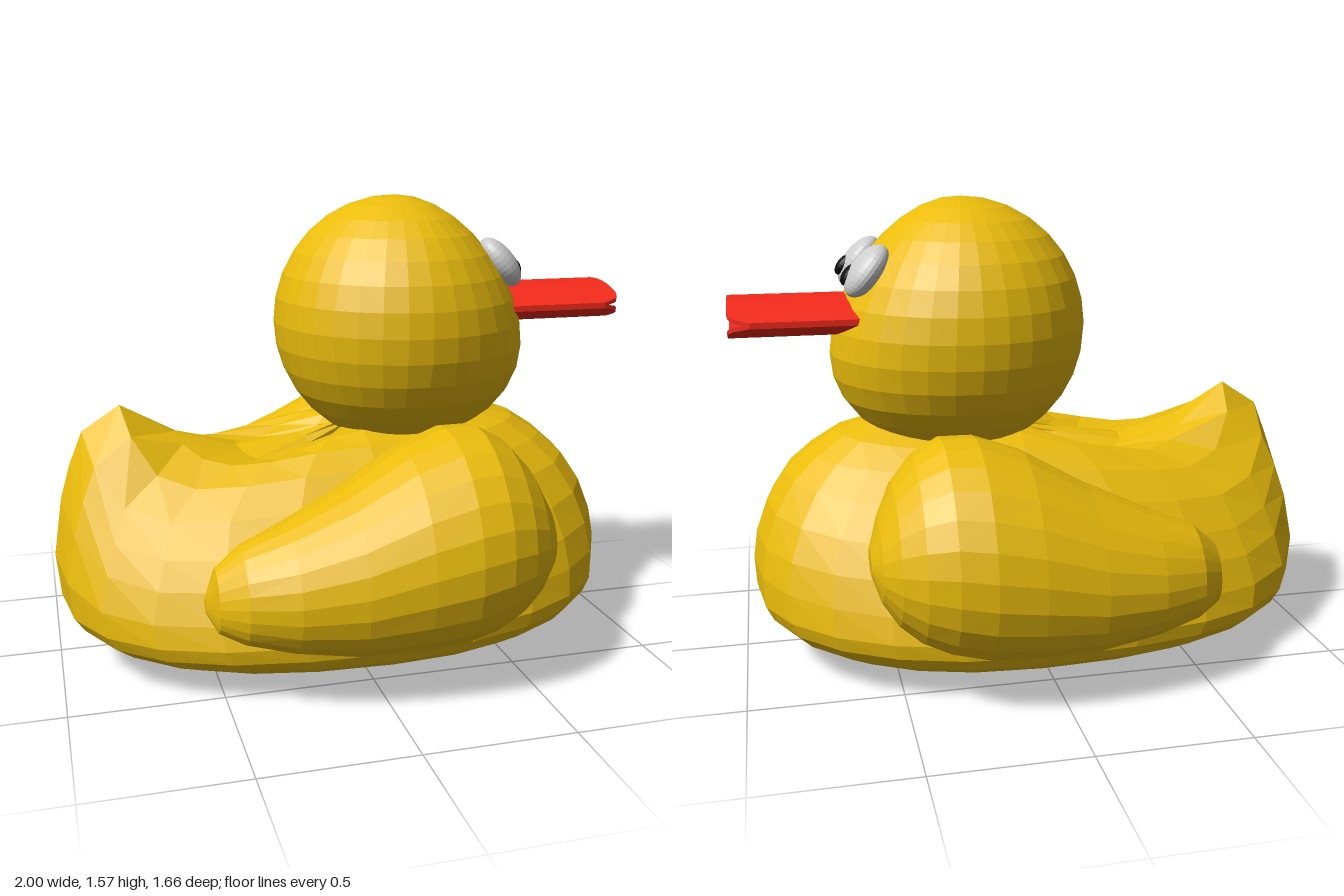
import * as THREE from 'three';

const YELLOW = 0xeabc0c, RED = 0xf32a1a, BLACK = 0x0c0c0c, GREY = 0xcccccc;

function addMesh(parent, name, geometry, color) {
  const material = new THREE.MeshStandardMaterial({ color, flatShading: true });
  const mesh = new THREE.Mesh(geometry, material);
  mesh.name = name;
  parent.add(mesh);
  return mesh;
}

// Skin a list of closed rings, with a fan over each end
function loft(rings) {
  const n = rings[0].length, positions = [], index = [];
  rings.forEach(ring => ring.forEach(p => positions.push(...p)));
  for (let r = 0; r < rings.length - 1; r++) {
    for (let j = 0; j < n; j++) {
      const a = r * n + j, b = r * n + (j + 1) % n;
      index.push(a, b, a + n, b, b + n, a + n);
    }
  }
  const last = (rings.length - 1) * n;
  for (let j = 1; j < n - 1; j++) {
    index.push(0, j + 1, j);
    index.push(last, last + j, last + j + 1);
  }
  const geometry = new THREE.BufferGeometry();
  geometry.setAttribute('position', new THREE.Float32BufferAttribute(positions, 3));
  geometry.setIndex(index);
  geometry.computeVertexNormals();
  return geometry;
}

// Body: three outlines from the top down, blended around the vertical axis
function bodyGeometry() {
  const cx = 0.05, segments = 24;
  const chest = [[0.05, 0.78], [0.35, 0.82], [0.53, 0.815], [0.66, 0.775], [0.76, 0.71], [0.84, 0.64], [0.905, 0.54],
    [0.945, 0.43], [0.96, 0.33], [0.955, 0.23], [0.93, 0.18], [0.885, 0.135], [0.8, 0.09], [0.66, 0.05],
    [0.46, 0.022], [0.25, 0.007], [0.05, 0]];
  const tail = [[0.05, 0.78], [-0.13, 0.74], [-0.36, 0.705], [-0.58, 0.77], [-0.76, 0.875], [-0.89, 0.79], [-0.935, 0.68],
    [-0.97, 0.56], [-1, 0.36], [-0.985, 0.21], [-0.95, 0.165], [-0.89, 0.12], [-0.8, 0.085], [-0.65, 0.05],
    [-0.45, 0.025], [-0.2, 0.007], [0.05, 0]];
  const flank = [[0, 0.78], [0.1, 0.79], [0.2, 0.78], [0.28, 0.745], [0.355, 0.685], [0.44, 0.59], [0.52, 0.48],
    [0.575, 0.385], [0.615, 0.28], [0.64, 0.2], [0.635, 0.15], [0.61, 0.11], [0.56, 0.075], [0.47, 0.04],
    [0.34, 0.018], [0.18, 0.005], [0, 0]];
  return loft(flank.map(([width, sideY], row) => {
    const ring = [];
    for (let j = 0; j < segments; j++) {
      const angle = j / segments * Math.PI * 2;
      const c = Math.cos(angle), s = Math.sin(angle);
      const rear = c < 0;
      const [endX, endY] = (rear ? tail : chest)[row];
      // a high power keeps the tail a narrow ridge; the back sags beside it
      const weight = Math.pow(Math.abs(c), rear && row > 2 ? 14 : 2);
      const sag = rear ? 0.07 * sideY * Math.sin(2 * angle) ** 2 : 0;
      ring.push([
        cx + (endX - cx) * Math.pow(Math.abs(c), 0.9),
        THREE.MathUtils.lerp(sideY, endY, weight) - sag,
        width * Math.sign(s) * Math.pow(Math.abs(s), 0.8)
      ]);
    }
    return ring;
  }));
}

// Head: a ball whose face is fuller at the cheeks than at the brow
function headGeometry() {
  const geometry = new THREE.SphereGeometry(1, 32, 16);
  const p = geometry.attributes.position;
  for (let i = 0; i < p.count; i++) {
    const x = p.getX(i), y = p.getY(i);
    const reach = x > 0 ? 0.445 - 0.1 * y : 0.425;
    p.setXYZ(i, 0.215 + reach * x, 1.13 + 0.435 * y, 0.435 * p.getZ(i));
  }
  geometry.computeVertexNormals();
  return geometry;
}

// Wing: leaning oval sections [x, top, bottom, outer z, inner z], front to back
function wingGeometry(side) {
  const lean = 0.12, segments = 24;
  const sections = [
    [0.6, 0.52, 0.44, 0.59, 0.47], [0.57, 0.61, 0.35, 0.66, 0.37], [0.52, 0.71, 0.27, 0.72, 0.27],
    [0.45, 0.79, 0.21, 0.775, 0.2], [0.36, 0.84, 0.17, 0.815, 0.17], [0.25, 0.84, 0.145, 0.835, 0.165],
    [0.1, 0.79, 0.14, 0.83, 0.2], [-0.1, 0.68, 0.15, 0.805, 0.28], [-0.3, 0.59, 0.185, 0.76, 0.36],
    [-0.45, 0.53, 0.225, 0.7, 0.43], [-0.53, 0.46, 0.26, 0.63, 0.47], [-0.56, 0.36, 0.31, 0.54, 0.5]
  ];
  const rings = sections.map(([x, top, bottom, outer, inner]) => {
    const halfY = (top - bottom) / 2, half = (outer - inner) / 2;
    const halfZ = Math.sqrt(half * half - (lean * halfY) ** 2);
    const ring = [];
    for (let j = 0; j < segments; j++) {
      const angle = j / segments * Math.PI * 2;
      const dy = halfY * Math.sin(angle);
      const z = (outer + inner) / 2 + halfZ * Math.cos(angle) - lean * dy;
      ring.push([x, (top + bottom) / 2 + dy, side * z]);
    }
    return ring;
  });
  return loft(side > 0 ? rings : rings.reverse());
}

// Bill half: a thin plate bowed up or down, with rounded tip corners
function billGeometry(direction) {
  const halfWidth = 0.215;
  const geometry = new THREE.BoxGeometry(0.42, 0.014, halfWidth * 2, 1, 1, 20);
  const p = geometry.attributes.position;
  for (let i = 0; i < p.count; i++) {
    const t = Math.abs(p.getZ(i)) / halfWidth;
    const corner = Math.max(0, (t - 0.7) / 0.3);
    const tip = 1 - 0.07 * (1 - Math.sqrt(Math.max(0, 1 - corner * corner)));
    p.setX(i, p.getX(i) > 0 ? tip : 0.56);
    p.setY(i, 1.18 + p.getY(i) + direction * (0.003 + 0.058 * (1 - t * t)));
  }
  geometry.computeVertexNormals();
  return geometry;
}

export function createModel() {
  const duck = new THREE.Group();
  duck.name = 'duck';

  addMesh(duck, 'body', bodyGeometry(), YELLOW);
  addMesh(duck, 'head', headGeometry(), YELLOW);
  addMesh(duck, 'upperBill', billGeometry(1), RED);
  addMesh(duck, 'lowerBill', billGeometry(-1), RED);

  for (const side of [1, -1]) {
    const label = side > 0 ? 'front' : 'back';
    addMesh(duck, label + 'Wing', wingGeometry(side), YELLOW);

    // Eye: a flattened ball facing out of the head, with a pupil on it
    const forward = new THREE.Vector3(0.75, 0.62, 0.14 * side);
    const eyeball = addMesh(duck, label + 'Eyeball', new THREE.SphereGeometry(1, 24, 16), GREY);
    eyeball.position.set(0.55, 1.338, 0.156 * side);
    eyeball.lookAt(eyeball.position.clone().add(forward));
    eyeball.scale.set(0.08, 0.1, 0.05);

    const pupil = addMesh(duck, label + 'Pupil', new THREE.SphereGeometry(1, 20, 12), BLACK);
    pupil.position.set(0.603, 1.326, 0.141 * side);
    pupil.lookAt(pupil.position.clone().add(forward));
    pupil.scale.set(0.036, 0.042, 0.022);
  }

  return duck;
}
